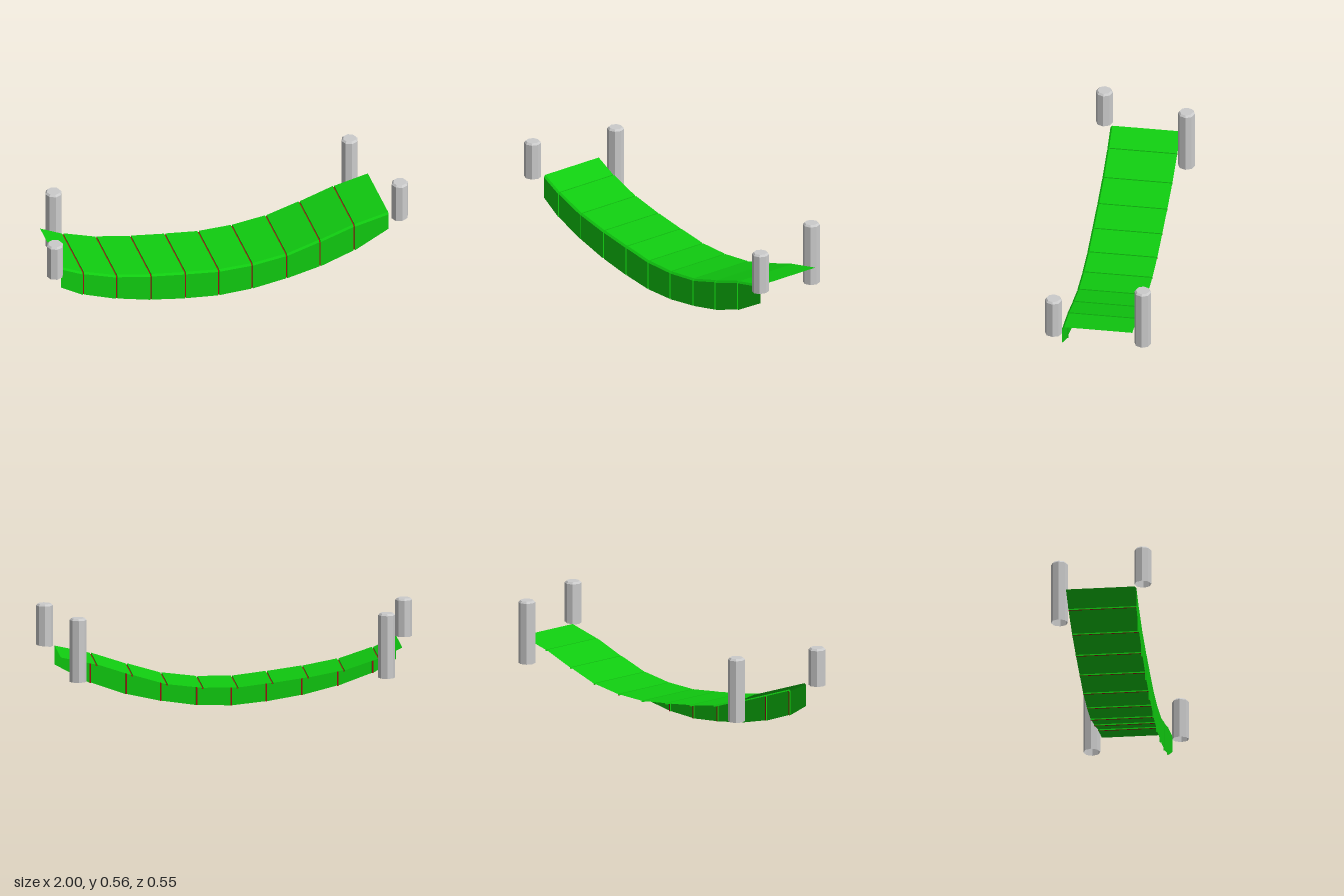
import * as THREE from 'three';

const material = (color) => new THREE.MeshStandardMaterial({ color, flatShading: true, side: THREE.DoubleSide });

// Seam stations along the deck: [x, top height, lower edge of front skirt]
const STATIONS = [
  [-0.91, 0.365, 0.238], [-0.785, 0.307, 0.165], [-0.6, 0.248, 0.1], [-0.41, 0.213, 0.053],
  [-0.22, 0.187, 0.022], [-0.035, 0.165, 0.003], [0.15, 0.166, 0.008], [0.34, 0.188, 0.034],
  [0.525, 0.24, 0.073], [0.715, 0.3, 0.137], [0.905, 0.341, 0.238],
];
const GAP = 0.004;
const DEPTH = 0.007;

// Open section: flat top, small chamfer, front skirt; inset pushes it inwards
function section([x, top, bottom], dx, inset) {
  const y = top - inset;
  const z = 0.19 - inset;
  return [
    [x + dx, y, -0.185], [x + dx, y, z - 0.01],
    [x + dx, y - 0.01, z], [x + dx, bottom, z],
  ];
}

// Joins successive sections with flat quads
function loft(sections) {
  const positions = [];
  for (let i = 0; i < sections.length - 1; i++) {
    for (let j = 0; j < sections[i].length - 1; j++) {
      const a = sections[i][j], b = sections[i][j + 1];
      const c = sections[i + 1][j + 1], d = sections[i + 1][j];
      positions.push(...a, ...b, ...c, ...a, ...c, ...d);
    }
  }
  const geometry = new THREE.BufferGeometry();
  geometry.setAttribute('position', new THREE.Float32BufferAttribute(positions, 3));
  geometry.computeVertexNormals();
  return geometry;
}

// Eight-sided post, hollow at the foot, with a chamfered cap; slope tilts the foot
function makePost(x, z, bottom, slope, mat) {
  const profile = [[0.045, bottom], [0.045, 0.55], [0.036, 0.56], [0, 0.56]]
    .map(([r, y]) => new THREE.Vector2(r, y));
  const geometry = new THREE.LatheGeometry(profile, 8);
  const p = geometry.attributes.position;
  for (let i = 0; i < p.count; i++) {
    if (p.getY(i) < bottom + 0.001) p.setY(i, bottom + slope * p.getX(i));
  }
  geometry.computeVertexNormals();
  const post = new THREE.Mesh(geometry, mat);
  post.position.set(x, 0, z);
  return post;
}

export function createModel() {
  const model = new THREE.Group();
  const green = material(0x10cc10);
  const red = material(0xa01010);
  const grey = material(0xcccccc);

  // Sagging deck panels, with edges folded into the seams
  const deck = new THREE.Group();
  deck.name = 'deck';
  const last = STATIONS.length - 1;
  for (let i = 0; i < last; i++) {
    const s = STATIONS[i], e = STATIONS[i + 1];
    const g0 = i > 0 ? GAP : 0;
    const g1 = i + 1 < last ? GAP : 0;
    const sections = [section(s, g0, 0), section(e, -g1, 0)];
    if (g0) sections.unshift(section(s, g0, DEPTH));
    if (g1) sections.push(section(e, -g1, DEPTH));
    const panel = new THREE.Mesh(loft(sections), green);
    panel.name = 'deckPanel';
    deck.add(panel);
  }

  // Recessed seam strips
  for (const s of STATIONS.slice(1, last)) {
    const seam = new THREE.Mesh(loft([section(s, -GAP, DEPTH), section(s, GAP, DEPTH)]), red);
    seam.name = 'seam';
    deck.add(seam);
  }
  model.add(deck);

  // Corner posts
  const posts = [
    ['frontRightPost', -0.955, 0.229, 0.355, 0], ['frontLeftPost', 0.955, 0.229, 0.335, 0.1],
    ['backRightPost', -0.822, -0.229, 0.213, 0], ['backLeftPost', 0.818, -0.229, 0.218, 0],
  ];
  for (const [name, x, z, bottom, slope] of posts) {
    const post = makePost(x, z, bottom, slope, grey);
    post.name = name;
    model.add(post);
  }
  return model;
}
